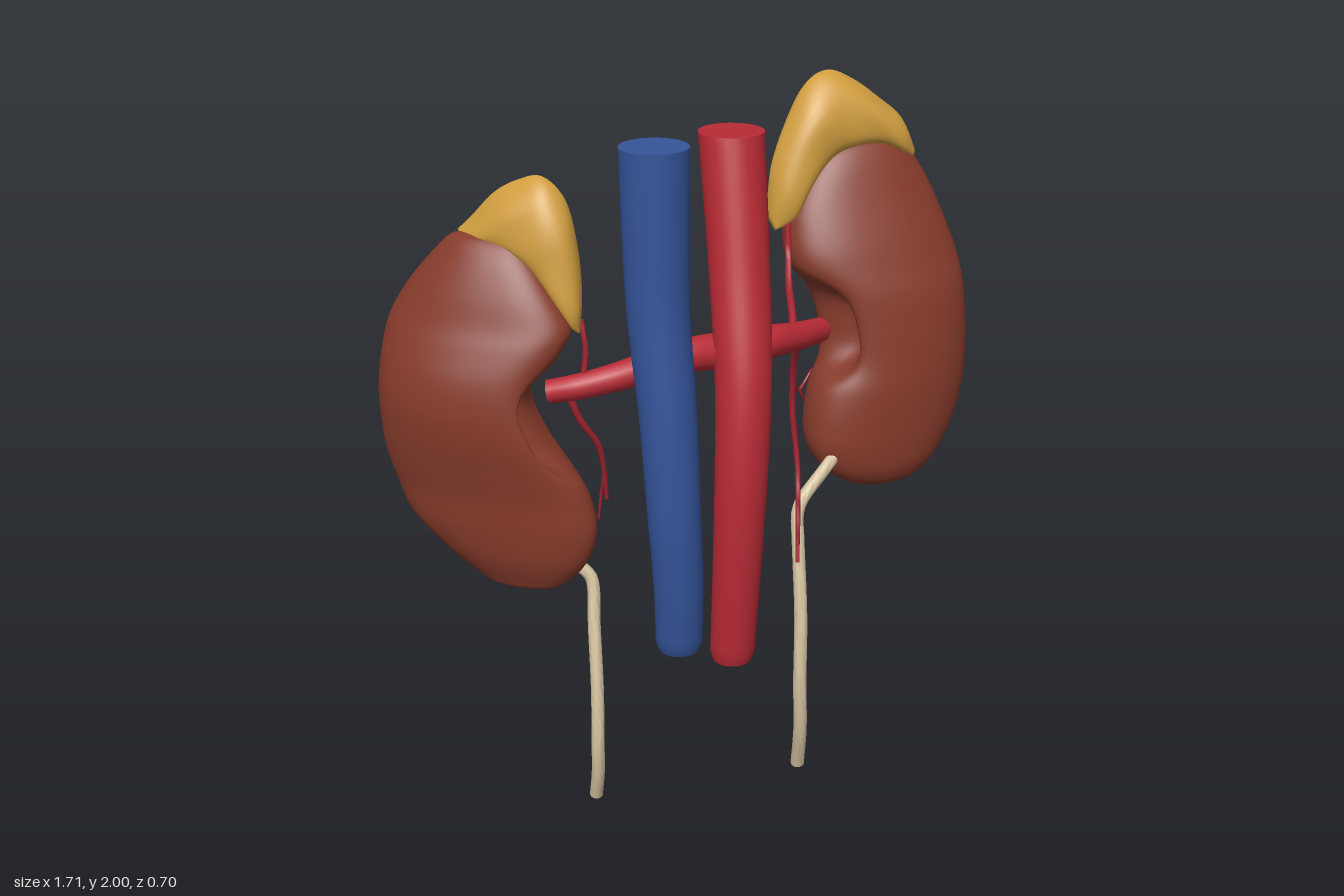
import * as THREE from 'three';
import { mergeVertices, toCreasedNormals } from 'three/addons/utils/BufferGeometryUtils.js';

const mat = (name, color) => {
  const m = new THREE.MeshStandardMaterial({ color });
  m.name = name;
  return m;
};

const signedPow = (v, p) => Math.sign(v) * Math.pow(Math.abs(v), p);

// Catmull-Rom interpolation of rows of numbers, t from 0 to 1
function sampleRows(rows, t) {
  const f = t * (rows.length - 1);
  const i = Math.min(Math.floor(f), rows.length - 2);
  const u = f - i;
  const at = (k) => rows[Math.max(0, Math.min(rows.length - 1, k))];
  return rows[i].map((_, c) => {
    const [a, b, d, e] = [at(i - 1)[c], at(i)[c], at(i + 1)[c], at(i + 2)[c]];
    return b + 0.5 * u * (d - a + u * (2 * a - 5 * b + 4 * d - e + u * (3 * (b - d) + e - a)));
  });
}

// Closed skin through rings of points; both ends are capped and faces turned outward
function loft(rings, crease) {
  const n = rings[0].length;
  const middle = (r) => r.reduce((s, p) => s.add(p), new THREE.Vector3()).divideScalar(n);
  const cap = (r) => { const m = middle(r); return r.map(() => m); };
  const all = [cap(rings[0]), ...rings, cap(rings[rings.length - 1])];
  const pts = all.flat();
  const index = [];
  for (let i = 0; i < all.length - 1; i++) {
    for (let j = 0; j < n; j++) {
      const a = i * n + j, b = i * n + (j + 1) % n;
      index.push(a, b, a + n, b, b + n, a + n);
    }
  }
  let volume = 0;
  const cross = new THREE.Vector3();
  for (let k = 0; k < index.length; k += 3) {
    volume += pts[index[k]].dot(cross.crossVectors(pts[index[k + 1]], pts[index[k + 2]]));
  }
  if (volume < 0) index.reverse();
  let geo = new THREE.BufferGeometry().setFromPoints(pts);
  geo.setIndex(index);
  geo = mergeVertices(geo, 1e-5);
  if (crease) return toCreasedNormals(geo, crease);
  geo.computeVertexNormals();
  return geo;
}

// Tapered vessel along a path; flat keeps every ring horizontal and bevels the lower end
function vessel(points, r0, r1, { steps = 28, sides = 16, flat = false } = {}) {
  const curve = new THREE.CatmullRomCurve3(points.map((p) => new THREE.Vector3(...p)));
  const frames = curve.computeFrenetFrames(steps, false);
  const rings = [];
  for (let i = 0; i <= steps; i++) {
    const p = curve.getPointAt(i / steps);
    const r = (r0 + (r1 - r0) * i / steps) * (flat && i === steps ? 0.88 : 1);
    const N = flat ? new THREE.Vector3(1, 0, 0) : frames.normals[i];
    const B = flat ? new THREE.Vector3(0, 0, 1) : frames.binormals[i];
    rings.push(Array.from({ length: sides }, (_, j) => {
      const a = j / sides * Math.PI * 2;
      return p.clone().addScaledVector(N, r * Math.cos(a)).addScaledVector(B, r * Math.sin(a));
    }));
  }
  return loft(rings, 0.9);
}

// Kidney from horizontal slices [y, medial x, lateral x, centre z, half thickness];
// slope turns it in plan, hilumY places the hollow on the inner front,
// innerBack below 1 fills out the inner back
function kidney(rows, slope, hilumY, innerBack) {
  const rings = [], steps = 90, sides = 64;
  for (let i = 0; i <= steps; i++) {
    const [y, med, lat, zc, ht] = sampleRows(rows, i / steps);
    const c = (med + lat) / 2, hw = (med - lat) / 2;
    const inY = Math.exp(-Math.pow((y - hilumY) / 0.12, 4));
    rings.push(Array.from({ length: sides }, (_, j) => {
      const a = j / sides * Math.PI * 2 - Math.PI;
      const dent = inY * Math.exp(-Math.pow((a - 0.35) / 0.36, 2));
      const power = a < 0 && a > -Math.PI / 2 ? innerBack : 0.88;
      const x = c + hw * signedPow(Math.cos(a), power);
      const z = zc + slope * (x - c) + ht * signedPow(Math.sin(a), power);
      return new THREE.Vector3(x - Math.sign(hw) * 0.1 * dent, y, z - 0.01 * dent);
    }));
  }
  return loft(rings);
}

// Adrenal cap from upright sections [top x, top y, bottom x, bottom y, z, half thickness];
// blunt below, narrowing and leaning back towards the crest
function adrenal(rows) {
  const rings = [], steps = 48, sides = 32;
  for (let i = 0; i <= steps; i++) {
    const [xu, yu, xl, yl, z, ht] = sampleRows(rows, i / steps);
    rings.push(Array.from({ length: sides }, (_, j) => {
      const a = j / sides * Math.PI * 2;
      const s = Math.sin(a), k = (1 + s) / 2;
      const w = signedPow(Math.cos(a), s < 0 ? 0.42 : 1.35);
      const ripple = 1 + 0.03 * Math.sin(i * 0.4 + s * 3);
      return new THREE.Vector3(xl + (xu - xl) * k, yl + (yu - yl) * k, z - 0.025 * k + ht * w * ripple);
    }));
  }
  return loft(rings);
}

export function createModel() {
  const group = new THREE.Group();
  const brown = mat('kidney brown', 0x863b2b);
  const yellow = mat('adrenal yellow', 0xd09e40);
  const red = mat('artery red', 0xb82a35);
  const darkRed = mat('fine artery red', 0xa02430);
  const blue = mat('vein blue', 0x35549a);
  const cream = mat('ureter cream', 0xd0bf9d);
  const add = (name, geo, material) => {
    const mesh = new THREE.Mesh(geo, material);
    mesh.name = name;
    group.add(mesh);
  };

  // Kidneys
  add('leftKidney', kidney([
    [1.815, 0.56, 0.56, -0.255, 0], [1.80, 0.46, 0.66, -0.255, 0.05],
    [1.75, 0.39, 0.71, -0.247, 0.08], [1.65, 0.325, 0.768, -0.23, 0.112],
    [1.55, 0.305, 0.808, -0.205, 0.135], [1.48, 0.315, 0.832, -0.19, 0.147],
    [1.40, 0.37, 0.848, -0.172, 0.155], [1.30, 0.40, 0.855, -0.157, 0.157],
    [1.20, 0.405, 0.855, -0.142, 0.155], [1.12, 0.37, 0.848, -0.127, 0.15],
    [1.03, 0.35, 0.828, -0.11, 0.138], [0.95, 0.355, 0.793, -0.095, 0.124],
    [0.88, 0.40, 0.745, -0.082, 0.102], [0.83, 0.48, 0.68, -0.077, 0.065],
    [0.81, 0.585, 0.585, -0.075, 0],
  ], -0.1, 1.3, 0.88), brown);
  add('rightKidney', kidney([
    [1.645, -0.55, -0.55, -0.13, 0], [1.63, -0.47, -0.63, -0.13, 0.05],
    [1.58, -0.43, -0.68, -0.127, 0.09], [1.50, -0.385, -0.745, -0.118, 0.122],
    [1.42, -0.35, -0.795, -0.11, 0.145], [1.36, -0.375, -0.822, -0.102, 0.155],
    [1.28, -0.43, -0.843, -0.094, 0.16], [1.19, -0.44, -0.855, -0.085, 0.16],
    [1.10, -0.405, -0.853, -0.072, 0.153], [1.02, -0.36, -0.845, -0.06, 0.14],
    [0.93, -0.32, -0.82, -0.045, 0.126], [0.84, -0.31, -0.787, -0.026, 0.113],
    [0.75, -0.335, -0.71, -0.01, 0.098], [0.68, -0.385, -0.63, 0, 0.068],
    [0.655, -0.43, -0.59, 0.004, 0.045], [0.642, -0.51, -0.51, 0.005, 0],
  ], 0.55, 1.15, 0.6), brown);

  // Adrenal glands
  add('leftAdrenalGland', adrenal([
    [0.255, 1.62, 0.27, 1.58, -0.16, 0.02], [0.27, 1.75, 0.33, 1.61, -0.175, 0.055],
    [0.32, 1.87, 0.38, 1.695, -0.2, 0.075], [0.38, 1.965, 0.43, 1.75, -0.225, 0.083],
    [0.45, 2.0, 0.48, 1.78, -0.24, 0.083], [0.53, 1.968, 0.55, 1.795, -0.245, 0.081],
    [0.61, 1.91, 0.61, 1.79, -0.25, 0.078], [0.675, 1.855, 0.66, 1.765, -0.255, 0.07],
    [0.712, 1.775, 0.70, 1.745, -0.26, 0.045],
  ]), yellow);
  add('rightAdrenalGland', adrenal([
    [-0.325, 1.405, -0.335, 1.395, 0.04, 0.015], [-0.315, 1.5, -0.365, 1.42, 0.028, 0.045],
    [-0.32, 1.62, -0.40, 1.48, 0.008, 0.06], [-0.345, 1.74, -0.43, 1.53, -0.015, 0.065],
    [-0.40, 1.80, -0.46, 1.57, -0.045, 0.07], [-0.46, 1.785, -0.50, 1.60, -0.083, 0.07],
    [-0.52, 1.745, -0.54, 1.615, -0.117, 0.063], [-0.58, 1.67, -0.58, 1.62, -0.152, 0.05],
    [-0.615, 1.635, -0.605, 1.62, -0.172, 0.025],
  ]), yellow);

  // Great vessels
  const wide = { steps: 60, sides: 32, flat: true };
  add('aorta', vessel([[0.08, 1.925, 0.065], [0.078, 1.6, 0.155], [0.068, 1.3, 0.245],
    [0.055, 1.05, 0.28], [0.046, 0.8, 0.282], [0.038, 0.472, 0.262]], 0.088, 0.062, wide), red);
  add('venaCava', vessel([[-0.155, 1.925, 0.18], [-0.15, 1.5, 0.19], [-0.132, 1.2, 0.22],
    [-0.12, 0.9, 0.237], [-0.108, 0.7, 0.23], [-0.102, 0.495, 0.21]], 0.092, 0.065, wide), blue);

  // Renal arteries
  add('leftRenalArtery', vessel([[0.08, 1.365, 0.2], [0.16, 1.37, 0.17], [0.25, 1.355, 0.11],
    [0.35, 1.34, 0.03]], 0.049, 0.034), red);
  add('rightRenalArtery', vessel([[0.05, 1.37, 0.22], [-0.02, 1.35, 0.155], [-0.12, 1.31, 0.1],
    [-0.25, 1.265, 0.065], [-0.35, 1.245, 0.055], [-0.42, 1.23, 0.03]], 0.052, 0.033), red);

  // Ureters
  add('leftUreter', vessel([[0.44, 0.955, -0.02], [0.36, 0.89, 0.025], [0.3, 0.838, 0.058],
    [0.282, 0.805, 0.075], [0.277, 0.74, 0.1], [0.27, 0.52, 0.165], [0.262, 0.32, 0.195],
    [0.268, 0.17, 0.19], [0.275, 0.02, 0.15]], 0.018, 0.02, { steps: 48 }), cream);
  add('rightUreter', vessel([[-0.40, 0.745, 0.02], [-0.36, 0.712, 0.042], [-0.322, 0.675, 0.06],
    [-0.316, 0.64, 0.072], [-0.322, 0.55, 0.1], [-0.328, 0.36, 0.155], [-0.335, 0.2, 0.182],
    [-0.335, 0.1, 0.175], [-0.337, 0.01, 0.15]], 0.018, 0.019, { steps: 48 }), cream);

  // Fine arteries: adrenal branches, then the descending ones with twigs
  const fine = [
    ['leftAdrenalArtery', 0.012, 0.009, [[0.25, 1.36, 0.1], [0.265, 1.395, 0.04], [0.285, 1.445, -0.06], [0.3, 1.52, -0.12], [0.305, 1.61, -0.15]]],
    ['rightAdrenalArtery', 0.009, 0.007, [[-0.33, 1.25, 0.055], [-0.318, 1.34, 0.05], [-0.325, 1.43, 0.035]]],
    ['leftDescendingArtery', 0.011, 0.006, [[0.26, 1.34, 0.1], [0.272, 1.24, 0.04], [0.278, 1.1, 0.02], [0.29, 0.94, 0.04], [0.278, 0.82, 0.092], [0.266, 0.68, 0.135]]],
    ['leftTwigUpper', 0.006, 0.003, [[0.275, 1.2, 0.03], [0.305, 1.15, -0.01], [0.35, 1.2, -0.035]]],
    ['leftTwigLower', 0.005, 0.003, [[0.305, 1.15, -0.01], [0.325, 1.115, -0.02]]],
    ['rightDescendingArtery', 0.011, 0.006, [[-0.37, 1.23, 0.05], [-0.335, 1.14, 0.045], [-0.285, 1.06, 0.03], [-0.265, 0.96, 0.01], [-0.258, 0.88, 0]]],
    ['rightTwigInner', 0.006, 0.003, [[-0.265, 0.96, 0.01], [-0.272, 0.89, -0.01], [-0.278, 0.81, -0.02]]],
    ['rightTwigOuter', 0.006, 0.003, [[-0.29, 1.07, 0.032], [-0.28, 1.03, 0], [-0.265, 1.0, -0.03]]],
  ];
  for (const [name, r0, r1, path] of fine) {
    add(name, vessel(path, r0, r1, { steps: 16, sides: 8 }), darkRed);
  }
  return group;
}
